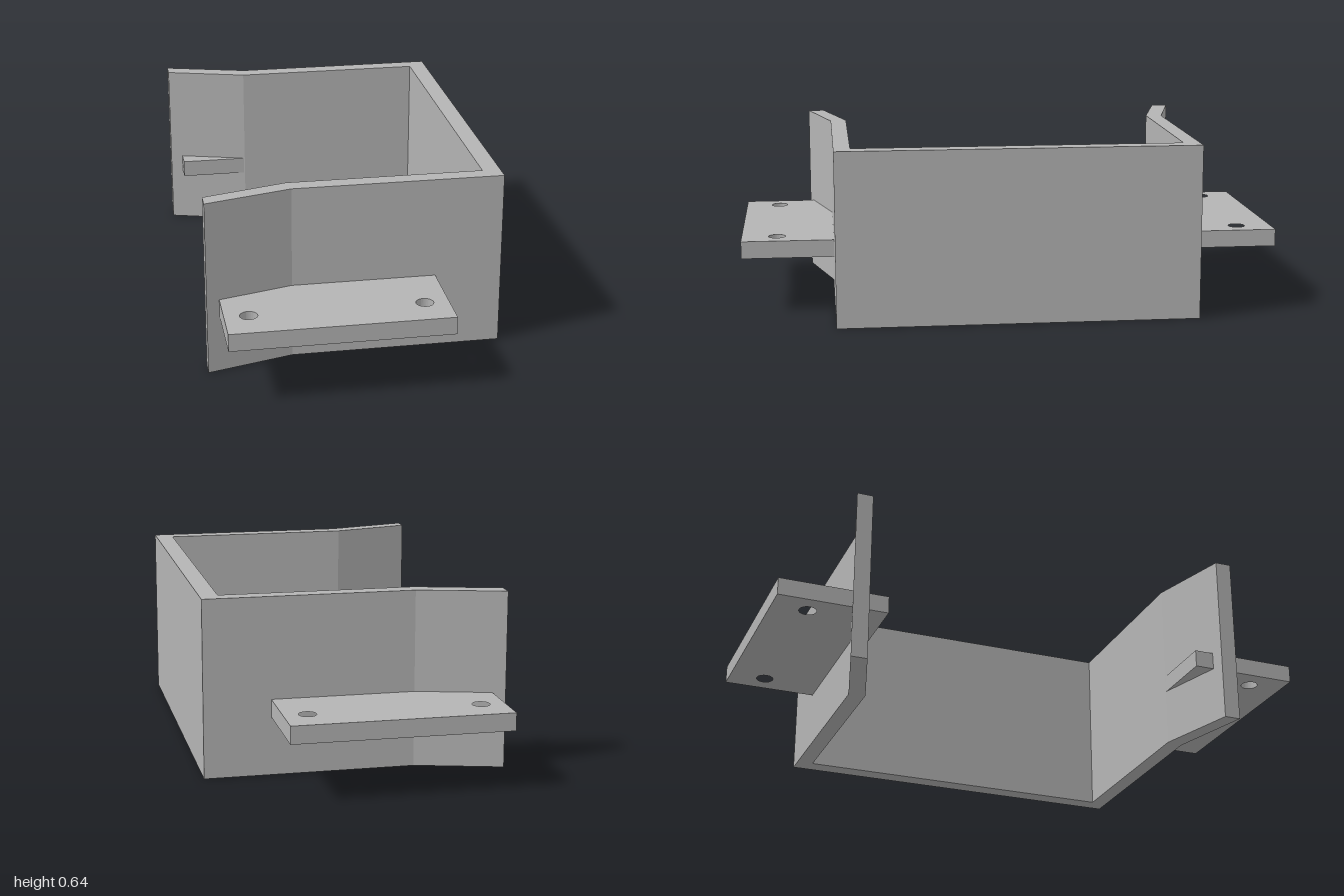
import * as THREE from 'three';

const HEIGHT = 0.64;
const steel = new THREE.MeshStandardMaterial({ color: 0xb4b4b4 });
steel.name = 'grey steel';

// Extrude a plan drawn in (x, z) upwards from y0 to y0 + height
function extrudePlan(shape, y0, height, name) {
  const geometry = new THREE.ExtrudeGeometry(shape, { depth: height, bevelEnabled: false, curveSegments: 16 });
  geometry.rotateX(Math.PI / 2);
  geometry.translate(0, y0 + height, 0);
  const mesh = new THREE.Mesh(geometry, steel);
  mesh.name = name;
  return mesh;
}

// Half of the channel outline, from the web to the flared tip and back
const outer = [[0.53, 0.66], [-0.225, 0.66], [-0.535, 0.745]];
const inner = [[-0.535, 0.685], [-0.235, 0.6], [0.465, 0.6]];

function createChannel() {
  const half = [...outer, ...inner];
  const mirrored = half.map(([x, z]) => [x, -z]).reverse();
  const points = [...half, ...mirrored].map(([x, z]) => new THREE.Vector2(x, z));
  return extrudePlan(new THREE.Shape(points), 0, HEIGHT, 'flaredChannel');
}

// Mounting tab with two screw holes, side is the sign of z
function createTab(side) {
  const shape = new THREE.Shape([[-0.49, 0.601], [0.29, 0.601], [0.29, 1], [-0.49, 1]]
    .map(([x, z]) => new THREE.Vector2(x, side * z)));
  for (const x of [-0.405, 0.205]) {
    const hole = new THREE.Path();
    hole.absarc(x, side * 0.87, 0.031, 0, Math.PI * 2, true);
    shape.holes.push(hole);
  }
  return extrudePlan(shape, 0.21, 0.064, side > 0 ? 'frontMountingTab' : 'backMountingTab');
}

export function createModel() {
  const model = new THREE.Group();
  model.name = 'mountingBracket';
  model.add(createChannel(), createTab(1), createTab(-1));
  return model;
}
